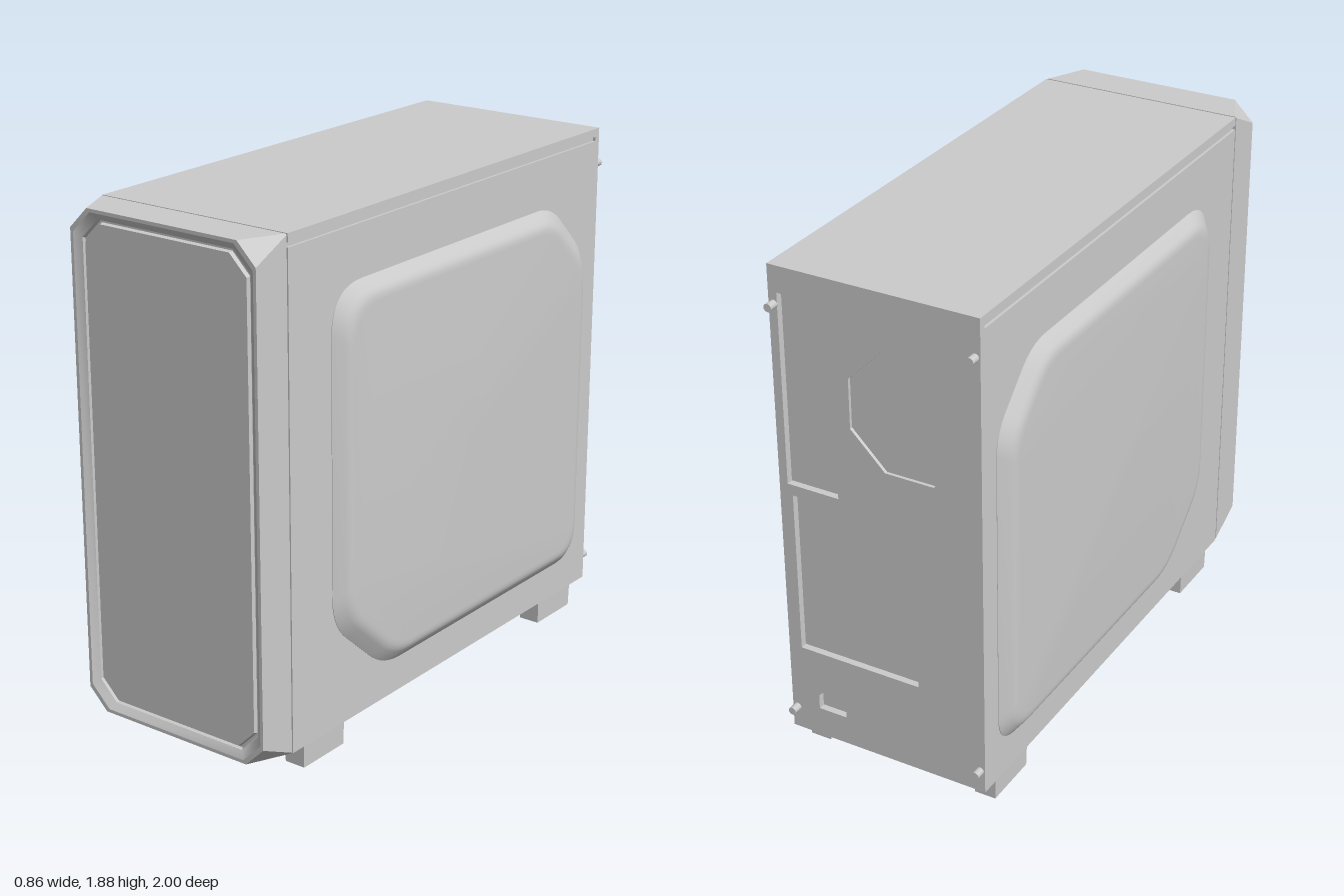
import * as THREE from 'three';
import { toCreasedNormals } from 'three/addons/utils/BufferGeometryUtils.js';

const material = new THREE.MeshStandardMaterial({ color: 0xcccccc });
const W = 0.387, BOTTOM = 0.09, TOP = 1.88, MID = 0.985, H = 0.895;

// Skin a stack of convex rings (counterclockwise seen from +z) and close the last one.
function loft(rings) {
  const pos = [];
  const add = (...points) => points.forEach((p) => pos.push(p.x, p.y, p.z));
  const n = rings[0].length;
  for (let k = 0; k + 1 < rings.length; k++) {
    for (let i = 0; i < n; i++) {
      const j = (i + 1) % n;
      const a = rings[k][i], b = rings[k][j], c = rings[k + 1][j], d = rings[k + 1][i];
      add(a, b, c, a, c, d);
    }
  }
  const last = rings[rings.length - 1];
  for (let i = 1; i + 1 < n; i++) add(last[0], last[i], last[i + 1]);
  const g = new THREE.BufferGeometry();
  g.setAttribute('position', new THREE.Float32BufferAttribute(pos, 3));
  g.computeVertexNormals();
  return toCreasedNormals(g, 0.45);
}

// Rectangle with cut corners, inset from the case outline.
function octagon([inset, c, z]) {
  const x = W - inset, y = H - inset;
  return [[x, -y + c], [x, y - c], [x - c, y], [-x + c, y],
    [-x, y - c], [-x, -y + c], [-x + c, -y], [x - c, -y]]
    .map(([u, v]) => new THREE.Vector3(u, v + MID, z));
}

// Side window outline as (z, y, rounding length) corners, softened with curves.
const CORNERS = [[0.63, 1.65, 0.16], [-0.65, 1.65, 0.09], [-0.875, 1.43, 0.08],
  [-0.875, 0.22, 0.12], [0.35, 0.22, 0.1], [0.63, 0.47, 0.1]];
function windowOutline() {
  const corners = CORNERS.map(([z, y]) => new THREE.Vector2(z, y));
  return corners.flatMap((p, i) => {
    const t = CORNERS[i][2];
    const toward = (q) => q.clone().sub(p).setLength(t).add(p);
    const a = toward(corners[(i + 5) % 6]), b = toward(corners[(i + 1) % 6]);
    return new THREE.QuadraticBezierCurve(a, p, b).getPoints(8);
  });
}

// Bulging side window; side is +1 or -1 on x.
function windowGeometry(side) {
  // Local x is -z on the +x side and +z on the -x side.
  const outline = windowOutline().map((p) => new THREE.Vector2(-side * p.x, p.y));
  if (side > 0) outline.reverse(); // mirroring flips the turn
  const cx = side * 0.1225, cy = 0.935, hw = 0.7525, hh = 0.715;
  const rings = [[0, -0.005], [0, 0.002], [0.035, 0.031], [0.046, 0.038], [0.06, 0.042], [0.075, 0.043]]
    .map(([inset, out]) => outline.map((p) => new THREE.Vector3(
      cx + (p.x - cx) * (1 - inset / hw), cy + (p.y - cy) * (1 - inset / hh), W + out)));
  return loft(rings);
}

function polygon(points, Type = THREE.Path) {
  return new Type(points.map(([x, y]) => new THREE.Vector2(x, y)));
}
const rect = (x0, y0, x1, y1) => [[x0, y0], [x1, y0], [x1, y1], [x0, y1]];

function extrude(shape, depth) {
  return new THREE.ExtrudeGeometry(shape, { depth, bevelEnabled: false });
}

export function createModel() {
  const group = new THREE.Group();
  const add = (name, geometry, x = 0, y = 0, z = 0) => {
    const mesh = new THREE.Mesh(geometry, material);
    mesh.name = name;
    mesh.position.set(x, y, z);
    group.add(mesh);
    return mesh;
  };

  // Main case with a thin groove below the top on both sides
  const half = [[W, BOTTOM], [W, 1.834], [W - 0.01, 1.834], [W - 0.01, 1.85], [W, 1.85], [W, TOP]];
  const section = [...half, ...half.map(([x, y]) => [-x, y]).reverse()];
  add('caseBody', extrude(polygon(section, THREE.Shape), 1.785), 0, 0, -0.94);

  // Back plate with recesses; the fan recess is shallower
  const back = polygon(rect(-W, BOTTOM, W, TOP), THREE.Shape);
  const fan = Array.from({ length: 8 }, (_, i) => {
    const a = (i + 0.5) * Math.PI / 4;
    return [-0.12 + 0.236 * Math.cos(a), 1.455 + 0.236 * Math.sin(a)];
  });
  const socket = [[0.165, 0.2], [0.275, 0.2], [0.275, 0.255], [0.248, 0.28], [0.192, 0.28], [0.165, 0.255]];
  back.holes.push(polygon(rect(0.156, 1.085, 0.355, 1.785)), polygon(fan),
    polygon(rect(-0.133, 0.435, 0.337, 1.045)), polygon(socket));
  add('backPlate', extrude(back, 0.025), 0, 0, -0.965);
  add('fanCover', extrude(polygon(fan, THREE.Shape), 0.015), 0, 0, -0.953);

  // Front bezel: corners cut toward the front, sloping rim, groove and panel
  add('seam', new THREE.BoxGeometry(2 * W - 0.03, 2 * H - 0.03, 0.04), 0, MID, 0.855);
  add('frontBezel', loft([[0.06, 0.004, 0.851], [0, 0.004, 0.851], [0, 0.075, 1], [0.012, 0.075, 1],
    [0.036, 0.07, 0.982], [0.04, 0.07, 0.972], [0.046, 0.069, 0.972], [0.05, 0.068, 0.985]].map(octagon)));

  for (const side of [1, -1]) {
    // Raised side windows
    add(side > 0 ? 'leftWindow' : 'rightWindow', windowGeometry(side)).rotation.y = side * Math.PI / 2;

    // Feet, slightly narrower at the ground
    for (const z of [0.665, -0.772]) {
      const foot = new THREE.BoxGeometry(0.084, 0.1, 0.22);
      const p = foot.attributes.position;
      for (let i = 0; i < p.count; i++) {
        if (p.getY(i) < 0) p.setXYZ(i, p.getX(i) * 0.95, p.getY(i), p.getZ(i) * 0.98);
      }
      foot.computeVertexNormals();
      add('foot', foot, side * 0.336, 0.05, z);
    }

    // Thumb screws at the back
    for (const y of [1.743, 0.175]) {
      const screw = new THREE.CylinderGeometry(0.0145, 0.0145, 0.04, 16).rotateX(Math.PI / 2);
      add('thumbScrew', screw, side * 0.368, y, -0.98);
    }
  }
  return group;
}
